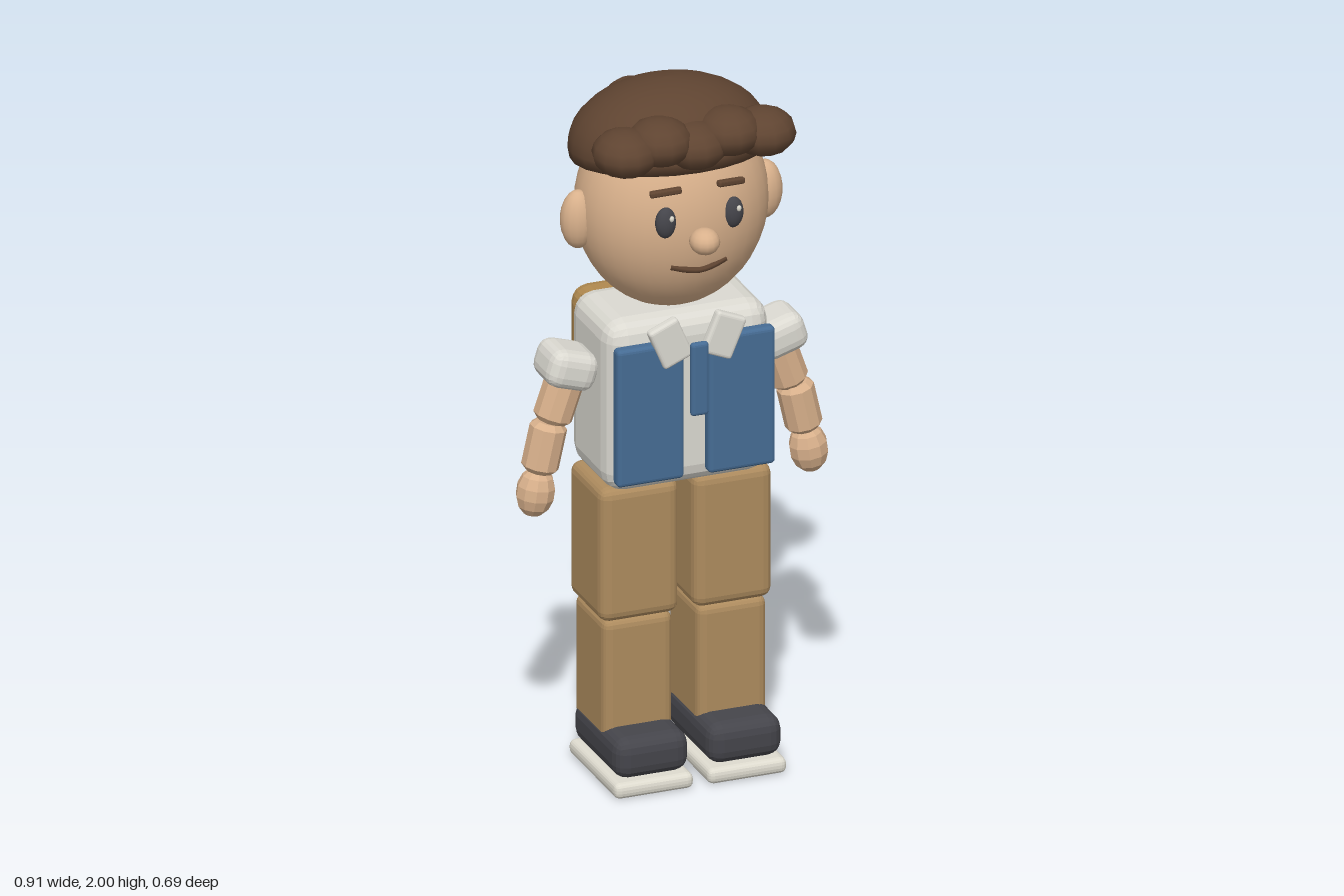
import * as THREE from 'three';
import { RoundedBoxGeometry } from 'three/addons/geometries/RoundedBoxGeometry.js';

const mat = (name, color) => {
  const m = new THREE.MeshStandardMaterial({ color });
  m.name = name;
  return m;
};

export function createModel() {
  const skin = mat('skin', 0xd9b18c);
  const brown = mat('hair brown', 0x5f4431);
  const shirt = mat('shirt white', 0xdbd9d1);
  const blue = mat('vest blue', 0x466c94);
  const tan = mat('trouser tan', 0xad8b5e);
  const leather = mat('backpack tan', 0xb0894f);
  const dark = mat('charcoal', 0x45454b);
  const cream = mat('sole cream', 0xdedbcf);

  const model = new THREE.Group();
  model.name = 'figure';

  const add = (name, geo, material, pos, rot = [0, 0, 0]) => {
    const mesh = new THREE.Mesh(geo, material);
    mesh.name = name;
    mesh.position.set(...pos);
    mesh.rotation.set(...rot);
    model.add(mesh);
    return mesh;
  };
  const faceted = (geo) => {
    const g = geo.index ? geo.toNonIndexed() : geo;
    g.computeVertexNormals();
    return g;
  };
  const box = (name, material, size, pos, radius, rot) =>
    add(name, faceted(new RoundedBoxGeometry(...size, 2, radius)), material, pos, rot);
  const ball = (name, material, radii, pos, seg = 20, rot) => {
    const geo = new THREE.SphereGeometry(1, seg, Math.round(seg * 0.7));
    return add(name, geo.scale(...radii), material, pos, rot);
  };
  // Short limb with bevelled ends
  const limb = (name, r, length, pos, tilt) => {
    const h = length / 2, b = 0.015;
    const profile = [[0, -h], [r - b, -h], [r, -h + b], [r, h - b], [r - b, h], [0, h]]
      .map(([x, y]) => new THREE.Vector2(x, y));
    add(name, faceted(new THREE.LatheGeometry(profile, 10)), skin, pos, [0, 0, tilt]);
  };

  // Head and face
  ball('head', skin, [0.27, 0.3, 0.225], [0, 1.652, 0.06], 32);
  ball('nose', skin, [0.042, 0.037, 0.045], [0, 1.625, 0.303], 14);
  const smile = new THREE.CatmullRomCurve3([
    new THREE.Vector3(-0.08, 1.542, 0.254),
    new THREE.Vector3(-0.04, 1.532, 0.265),
    new THREE.Vector3(0, 1.526, 0.268),
    new THREE.Vector3(0.04, 1.532, 0.265),
    new THREE.Vector3(0.08, 1.542, 0.254),
  ]);
  add('mouth', new THREE.TubeGeometry(smile, 12, 0.009, 6), brown, [0, 0, 0]);

  // Hair cap, closed underneath and tipped towards the back
  const cap = [[0, -0.2]];
  for (let i = 0; i <= 10; i++) {
    const a = Math.PI * 0.56 * (1 - i / 10);
    cap.push([Math.sin(a), Math.cos(a)]);
  }
  const capGeo = new THREE.LatheGeometry(cap.map(([x, y]) => new THREE.Vector2(Math.max(x, 0), y)), 24);
  add('hairCap', capGeo.scale(0.28, 0.175, 0.235), brown, [0, 1.825, 0.04], [-0.1, 0, 0]);

  // Fringe curls
  for (let i = -2; i <= 2; i++) {
    const y = [1.88, 1.905, 1.888][Math.abs(i)];
    ball('fringeCurl', brown, [0.092, 0.066, 0.097], [i * 0.1, y, 0.225], 12);
  }
  ball('ponytail', brown, [0.122, 0.225, 0.1], [0, 1.66, -0.245], 20);

  // Torso, tie and backpack
  box('torso', shirt, [0.48, 0.505, 0.3], [0, 1.113, 0.055], 0.06);
  box('tie', blue, [0.052, 0.215, 0.022], [0, 1.203, 0.264], 0.01);
  box('backpack', leather, [0.345, 0.385, 0.165], [0, 1.107, -0.192], 0.05);
  box('backpackPocket', leather, [0.235, 0.155, 0.045], [0, 1.017, -0.287], 0.018);

  // Mirrored parts
  for (const s of [-1, 1]) {
    ball('ear', skin, [0.05, 0.085, 0.045], [s * 0.272, 1.637, 0.06], 16);
    ball('eye', dark, [0.03, 0.045, 0.022], [s * 0.098, 1.68, 0.264], 16);
    ball('eyeGlint', cream, [0.007, 0.009, 0.005], [s * 0.098 + 0.01, 1.697, 0.284], 8);
    box('eyebrow', brown, [0.088, 0.018, 0.02], [s * 0.095, 1.766, 0.256], 0.006, [0, s * 0.25, -s * 0.12]);

    box('vestPanel', blue, [0.195, 0.405, 0.04], [s * 0.133, 1.108, 0.227], 0.012);
    box('collar', shirt, [0.092, 0.125, 0.032], [s * 0.078, 1.313, 0.243], 0.01, [0, 0, -s * 0.4]);
    box('backpackStrap', leather, [0.032, 0.38, 0.022], [s * 0.173, 1.138, -0.134], 0.009, [0.08, 0, 0]);

    box('sleeve', shirt, [0.145, 0.11, 0.155], [s * 0.305, 1.21, 0.056], 0.038, [0, 0, s * 0.3]);
    limb('upperArm', 0.055, 0.16, [s * 0.323, 1.125, 0.056], s * 0.33);
    limb('forearm', 0.052, 0.145, [s * 0.372, 0.982, 0.064], s * 0.22);
    const hand = ball('hand', skin, [0.055, 0.072, 0.052], [s * 0.398, 0.853, 0.066], 10, [0, 0, s * 0.15]);
    hand.geometry = faceted(hand.geometry);

    box('thigh', tan, [0.23, 0.395, 0.245], [s * 0.136, 0.675, 0.058], 0.03);
    box('shin', tan, [0.202, 0.36, 0.225], [s * 0.137, 0.3, 0.057], 0.025);
    box('shoe', dark, [0.216, 0.118, 0.337], [s * 0.136, 0.107, 0.109], 0.04);
    box('sole', cream, [0.23, 0.045, 0.35], [s * 0.136, 0.0225, 0.109], 0.018);
  }
  return model;
}
